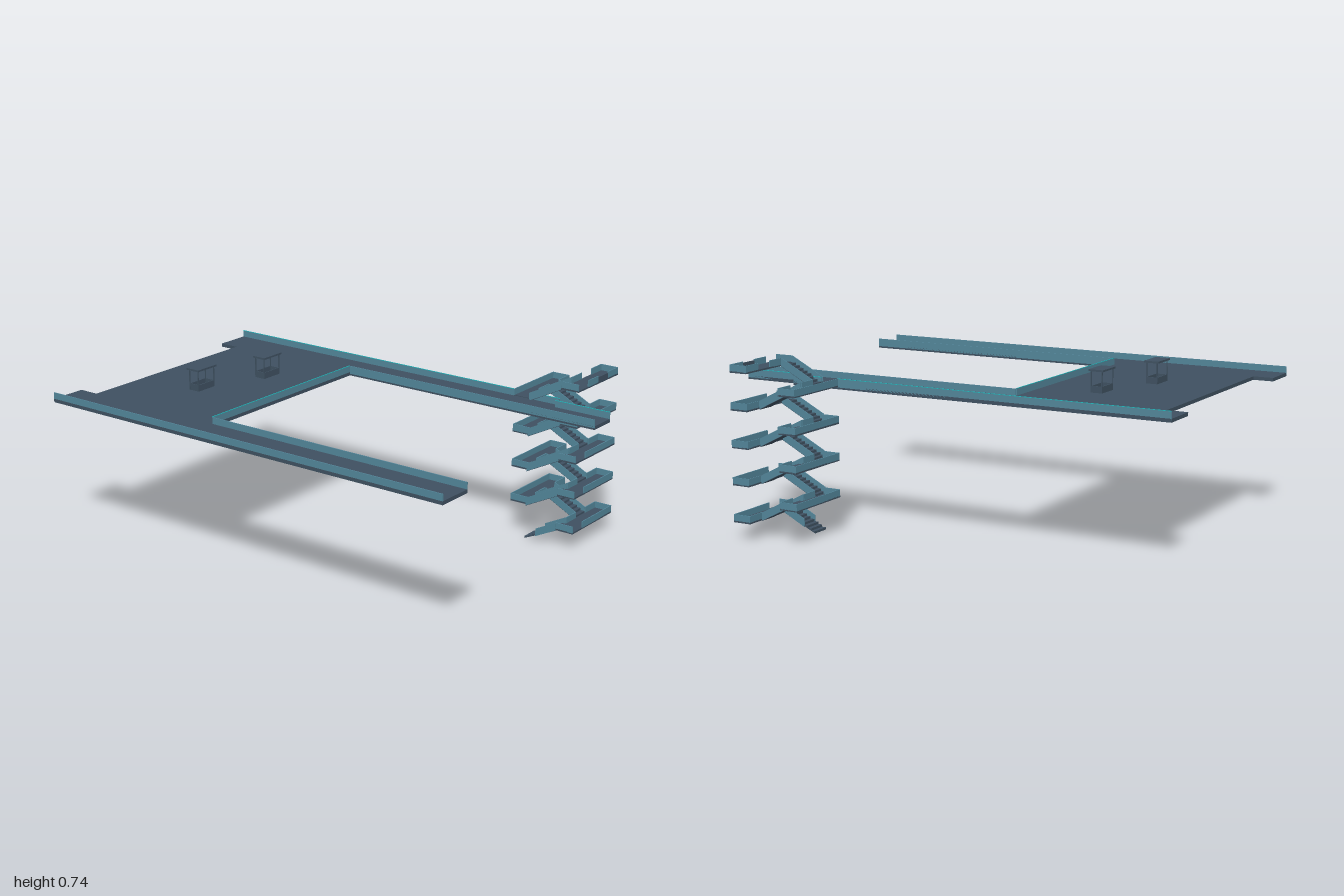
import * as THREE from 'three';

const mat = (name, color, side = THREE.FrontSide) => {
  const m = new THREE.MeshStandardMaterial({ color, side });
  m.name = name;
  return m;
};

export function createModel() {
  const model = new THREE.Group();
  model.name = 'elevatedPlatform';
  const slate = mat('slate', 0x3e5060);
  const steel = mat('steelBlue', 0x528599);
  const cyan = mat('cyanTrim', 0x22b0b5);

  // Box given by its extents
  const box = (parent, name, m, x0, x1, y0, y1, z0, z1) => {
    const mesh = new THREE.Mesh(new THREE.BoxGeometry(x1 - x0, y1 - y0, z1 - z0), m);
    mesh.position.set((x0 + x1) / 2, (y0 + y1) / 2, (z0 + z1) / 2);
    mesh.name = name;
    parent.add(mesh);
    return mesh;
  };
  // Outline in (z, y), extruded across x
  const profile = (parent, name, m, pts, x0, x1) => {
    const shape = new THREE.Shape(pts.map(([z, y]) => new THREE.Vector2(z, y)));
    const geo = new THREE.ExtrudeGeometry(shape, { depth: x1 - x0, bevelEnabled: false });
    geo.rotateY(-Math.PI / 2);
    const mesh = new THREE.Mesh(geo, m);
    mesh.position.x = x1;
    mesh.name = name;
    parent.add(mesh);
  };
  const T = 0.004; // parapet thickness

  // Deck: U-shaped slab with tabs at the back and a jog beside the stairs
  const deck = new THREE.Group();
  deck.name = 'deck';
  model.add(deck);
  const outline = [
    [-0.77, -1], [-0.61, -1], [-0.61, -0.91], [0.3, -0.91], [0.3, -1], [0.458, -1],
    [0.458, 0.74], [0.425, 0.74], [0.425, 1], [0.3, 1], [0.3, -0.245],
    [-0.61, -0.245], [-0.61, 1], [-0.77, 1],
  ];
  const slabGeo = new THREE.ExtrudeGeometry(
    new THREE.Shape(outline.map(([x, z]) => new THREE.Vector2(x, -z))),
    { depth: 0.015, bevelEnabled: false });
  slabGeo.rotateX(-Math.PI / 2);
  const slab = new THREE.Mesh(slabGeo, slate);
  slab.name = 'deckSlab';
  slab.position.y = 0.615;
  deck.add(slab);

  // Parapets, some with a bright trim on top
  const parapets = [
    [-0.77, -0.77 + T, -1, 1, false],
    [-0.61 - T, -0.61, -0.245, 1, false],
    [0.3, 0.3 + T, -0.245, 1, false],
    [-0.61, 0.3, -0.245 - T, -0.245, true],
    [0.458 - T, 0.458, -1, 0.515, true],
    [0.458 - T, 0.458, 0.597, 0.74, true],
    [0.425, 0.458, 0.74 - T, 0.74, false],
    [0.425 - T, 0.425, 0.74, 1, true],
  ];
  for (const [x0, x1, z0, z1, trim] of parapets) {
    box(deck, 'parapet', steel, x0, x1, 0.6225, 0.658, z0, z1);
    if (trim) box(deck, 'parapetTrim', cyan, x0, x1, 0.658, 0.66, z0, z1);
  }

  // Kiosks: counter, four posts and a flat roof
  for (const [cx, cz] of [[-0.273, -0.608], [0.04, -0.504]]) {
    const kiosk = new THREE.Group();
    kiosk.name = 'kiosk';
    kiosk.position.set(cx, 0.63, cz);
    model.add(kiosk);
    box(kiosk, 'kioskRoof', slate, -0.058, 0.058, 0.089, 0.097, -0.033, 0.033);
    for (const sx of [-1, 1]) for (const sz of [-1, 1]) {
      const x = sx * 0.05, z = sz * 0.024;
      box(kiosk, 'kioskPost', slate, x - 0.002, x + 0.002, 0, 0.089, z - 0.002, z + 0.002);
    }
    box(kiosk, 'counterFront', slate, -0.05, 0.05, 0, 0.028, 0.022, 0.026);
    box(kiosk, 'counterBack', slate, -0.05, 0.05, 0, 0.028, -0.026, -0.022);
    for (const s of [-1, 1]) {
      box(kiosk, 'counterSide', slate, s * 0.049 - 0.002, s * 0.049 + 0.002, 0, 0.028, -0.024, 0.024);
    }
  }

  // Stair tower: landings alternate front and back, flights alternate sides
  const stairs = new THREE.Group();
  stairs.name = 'stairTower';
  model.add(stairs);
  const levelY = (k) => k * 0.0788;
  const zBack = 0.597, zFront = 0.752, depth = 0.083;
  const xL = 0.445, xR = 0.77, H = 0.029;

  for (let k = 1; k <= 9; k++) {
    const front = k % 2 === 1;
    const y = levelY(k), top = y + H;
    const z0 = front ? zFront : zBack - depth;
    const z1 = z0 + depth;
    const x0 = front ? xL : 0.455;
    box(stairs, 'landing', slate, x0, xR, y - 0.005, y + 0.002, z0, z1);
    box(stairs, 'landingEndWall', steel, xR - T, xR, y, top, z0, z1);
    if (k !== 8) box(stairs, 'landingEndWall', steel, x0, x0 + T, y, top, z0, z1);
    // Outer wall
    const zo = front ? z1 - T : z0;
    if (k === 9) {
      box(stairs, 'landingWall', steel, 0.525, 0.605, y, top, zo, zo + T);
      box(stairs, 'landingPanel', slate, 0.605, 0.685, y, top - 0.005, zo, zo + T);
      box(stairs, 'landingWall', steel, 0.685, xR, y, top, zo, zo + T);
    } else {
      box(stairs, 'landingWall', steel, front ? 0.525 : x0, xR, y, top, zo, zo + T);
    }
    // Inner walls beside the flight openings
    const zi = front ? z0 : z1 - T;
    box(stairs, 'innerWall', steel, 0.525, 0.605, y, top, zi, zi + T);
    box(stairs, 'innerWall', steel, 0.685, xR, y, top, zi, zi + T);
  }

  const STEPS = 8;
  for (let k = 0; k < 9; k++) {
    const up = k % 2 === 0; // even flights climb towards the front
    const [za, zb] = up ? [zBack, zFront] : [zFront, zBack];
    const ya = levelY(k), yb = levelY(k + 1);
    const x0 = up ? xL : 0.605, x1 = x0 + 0.08;
    const at = (t) => [za + (zb - za) * t, ya + (yb - ya) * t];
    // Stepped flight with a sloping soffit
    const pts = [at(0)];
    for (let i = 0; i < STEPS; i++) {
      const [z] = at(i / STEPS), [zn, y] = at((i + 1) / STEPS);
      pts.push([z, y], [zn, y]);
    }
    pts.push([zb, yb - 0.008]);
    if (k > 0) pts.push([za, ya - 0.008]);
    profile(stairs, 'stairFlight', slate, pts, x0, x1);
    // Sloping side panels
    const [zs, ys] = at(k === 0 ? 0.35 : 0);
    const side = [[zs, ys - 0.006], [zb, yb - 0.006], [zb, yb + H], [zs, ys + H]];
    profile(stairs, 'stairSidePanel', steel, side, x0 - 0.001, x0 + 0.002);
    profile(stairs, 'stairSidePanel', steel, side, x1 - 0.002, x1 + 0.001);
  }
  return model;
}
